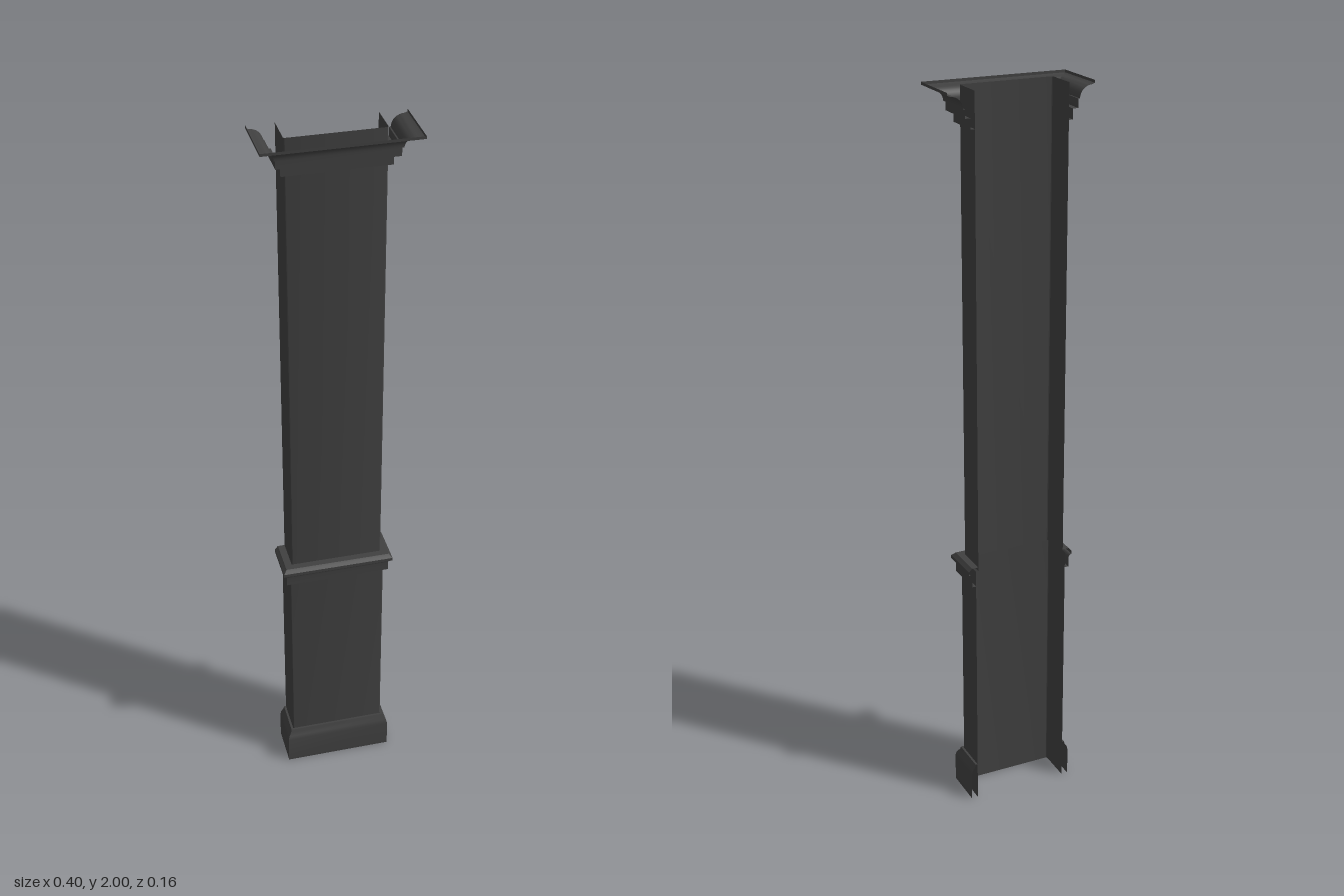
import * as THREE from 'three';
import { toCreasedNormals } from 'three/addons/utils/BufferGeometryUtils.js';

const BACK = -0.08; // wall plane where the shell is open
const SETBACK = 0.117; // half width minus front depth, same for every part

// U-shaped outline at half width d: left return, front, right return
function outline(d, radius) {
  const f = d - SETBACK;
  const half = [[d, BACK]];
  if (radius === 0) half.push([d, f]);
  else {
    for (let i = 0; i <= 4; i++) {
      const a = (i / 4) * Math.PI / 2;
      half.push([d - radius + radius * Math.cos(a), f - radius + radius * Math.sin(a)]);
    }
  }
  return half.concat(half.map(([x, z]) => [-x, z]).reverse());
}

// Sweeps a profile of [half width, height] points around the U outline
function sweep(profile, radius = 0) {
  const positions = [];
  const index = [];
  const n = outline(0.2, radius).length;
  profile.forEach(([d, y]) => outline(d, radius).forEach(([x, z]) => positions.push(x, y, z)));
  for (let r = 0; r < profile.length - 1; r++) {
    for (let i = 0; i < n - 1; i++) {
      const a = r * n + i, b = a + 1, c = a + n, e = b + n;
      index.push(b, a, c, b, c, e);
    }
  }
  const geometry = new THREE.BufferGeometry();
  geometry.setAttribute('position', new THREE.Float32BufferAttribute(positions, 3));
  geometry.setIndex(index);
  return toCreasedNormals(geometry, 0.5);
}

// Concave quarter curve, rising first and then flaring outwards
function cove(d0, y0, d1, y1, steps = 8) {
  return Array.from({ length: steps + 1 }, (_, i) => {
    const a = (i / steps) * Math.PI / 2;
    return [d0 + (d1 - d0) * (1 - Math.cos(a)), y0 + (y1 - y0) * Math.sin(a)];
  });
}

export function createModel() {
  const group = new THREE.Group();
  const material = new THREE.MeshStandardMaterial({ color: 0x404040, side: THREE.DoubleSide });
  const add = (name, profile, radius) => {
    const mesh = new THREE.Mesh(sweep(profile, radius), material);
    mesh.name = name;
    group.add(mesh);
  };

  // Plain panels
  add('lowerPanel', [[0.134, 0], [0.134, 0.72]], 0.004);
  add('upperPanel', [[0.127, 0.72], [0.127, 2]], 0.004);

  // Plinth with a softened top edge
  add('base', [[0.152, 0], [0.152, 0.08], [0.149, 0.092], [0.142, 0.102], [0.14, 0.11], [0.134, 0.11]]);

  // Chair-rail band between the panels
  add('middleMoulding', [
    [0.134, 0.675], [0.145, 0.675], [0.145, 0.7],
    ...cove(0.145, 0.7, 0.155, 0.712, 5),
    [0.155, 0.721], [0.151, 0.725], [0.146, 0.731], [0.127, 0.731],
  ]);

  // Stepped crown flaring to a thin lip, open on top
  add('crown', [
    [0.127, 1.908], [0.138, 1.908], [0.138, 1.935], [0.153, 1.935], [0.153, 1.958],
    ...cove(0.157, 1.958, 0.19, 1.99),
    [0.198, 1.993], [0.198, 2],
  ]);

  return group;
}
